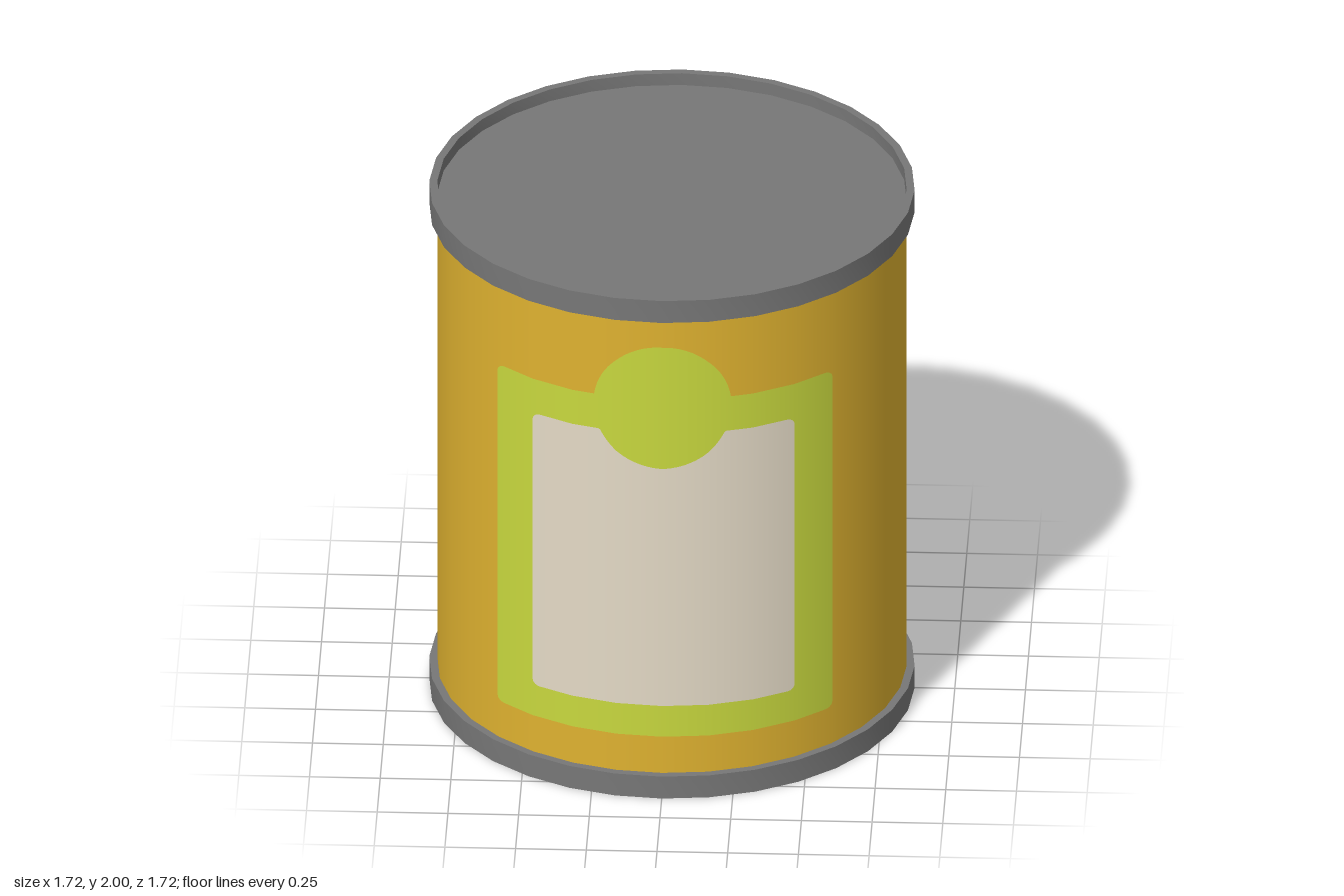
import * as THREE from 'three';
import { toCreasedNormals } from 'three/addons/utils/BufferGeometryUtils.js';

const SIDES = 32, R = 0.83, RIM_R = 0.858, HEIGHT = 2;
const RIM_H = 0.088, RECESS = 0.047;

const paint = (name, color) => {
  const m = new THREE.MeshStandardMaterial({ color });
  m.name = name;
  return m;
};

function part(name, geometry, material) {
  const mesh = new THREE.Mesh(geometry, material);
  mesh.name = name;
  return mesh;
}

// Depth of the faceted can wall at a given x
function wallZ(x) {
  const step = (2 * Math.PI) / SIDES;
  const k = Math.floor(Math.asin(x / R) / step + 1e-6);
  const a = k * step, b = a + step;
  const t = (x / R - Math.sin(a)) / (Math.sin(b) - Math.sin(a));
  return R * THREE.MathUtils.lerp(Math.cos(a), Math.cos(b), t);
}

// Thin sheet wrapped on the front wall, bounded by low(x) and high(x)
function wrappedSheet(halfWidth, low, high, lift) {
  const xs = [];
  for (let i = -24; i <= 24; i++) {
    xs.push(halfWidth * Math.sin((i / 48) * Math.PI));
    xs.push(BADGE.r * Math.sin((i / 48) * Math.PI));
  }
  for (let k = -6; k <= 6; k++) xs.push(R * Math.sin((k * 2 * Math.PI) / SIDES));
  const cols = xs.filter((x) => Math.abs(x) <= halfWidth).sort((a, b) => a - b);
  const pos = [], nor = [], index = [];
  cols.forEach((x, i) => {
    const z = wallZ(x), n = new THREE.Vector3(x, 0, z).normalize();
    for (const y of [low(x), high(x)]) {
      pos.push(x + n.x * lift, y, z + n.z * lift);
      nor.push(n.x, 0, n.z);
    }
    if (i) {
      const a = 2 * i - 2;
      index.push(a, a + 2, a + 3, a, a + 3, a + 1);
    }
  });
  const g = new THREE.BufferGeometry();
  g.setAttribute('position', new THREE.Float32BufferAttribute(pos, 3));
  g.setAttribute('normal', new THREE.Float32BufferAttribute(nor, 3));
  g.setIndex(index);
  return g;
}

const BADGE = { y: 1.556, r: 0.243 };
const badgeHalf = (x) => Math.sqrt(Math.max(0, BADGE.r ** 2 - x * x));

// How far a rounded corner cuts into the top or bottom edge at x
function cornerCut(x, halfWidth, r) {
  const d = Math.max(0, Math.abs(x) - (halfWidth - r));
  return r - Math.sqrt(Math.max(0, r * r - d * d));
}

export function createModel() {
  const yellow = paint('yellow wall', 0xdfb230);
  const grey = paint('grey metal', 0x777777);
  const green = paint('green label', 0xc8d83e);
  const cream = paint('cream panel', 0xe4dac6);
  for (const m of [green, cream]) m.side = THREE.DoubleSide;

  const can = new THREE.Group();
  can.name = 'can';

  // Wall
  const wall = new THREE.CylinderGeometry(R, R, HEIGHT - 2 * RECESS, SIDES, 1, true);
  wall.translate(0, HEIGHT / 2, 0);
  can.add(part('wall', wall, yellow));

  // Rims with recessed end panels, the lower one turned over
  const rimProfile = [
    [R - 0.01, HEIGHT - RIM_H], [RIM_R, HEIGHT - RIM_H], [RIM_R, HEIGHT],
    [R, HEIGHT], [R, HEIGHT - RECESS],
  ].map(([x, y]) => new THREE.Vector2(x, y));
  const rim = toCreasedNormals(new THREE.LatheGeometry(rimProfile, SIDES), Math.PI / 6);
  const panel = new THREE.CircleGeometry(R, SIDES);
  panel.rotateX(-Math.PI / 2).translate(0, HEIGHT - RECESS, 0);
  for (const end of ['top', 'bottom']) {
    const cap = new THREE.Group();
    cap.name = end + 'Cap';
    cap.add(part(end + 'Rim', rim, grey), part(end + 'Panel', panel, grey));
    if (end === 'bottom') {
      cap.rotation.x = Math.PI;
      cap.position.y = HEIGHT;
    }
    can.add(cap);
  }

  // Green label with a round badge rising from its top edge
  const gw = 0.59, cw = 0.46;
  can.add(part('label', wrappedSheet(gw,
    (x) => 0.235 + cornerCut(x, gw, 0.025),
    (x) => Math.max(1.588 - cornerCut(x, gw, 0.025), BADGE.y + badgeHalf(x)),
    0.003), green));

  // Cream panel, notched around the badge
  can.add(part('labelPanel', wrappedSheet(cw,
    (x) => 0.36 + cornerCut(x, cw, 0.025),
    (x) => Math.min(1.453 - cornerCut(x, cw, 0.025),
      Math.abs(x) < BADGE.r ? BADGE.y - badgeHalf(x) : Infinity),
    0.006), cream));

  return can;
}
